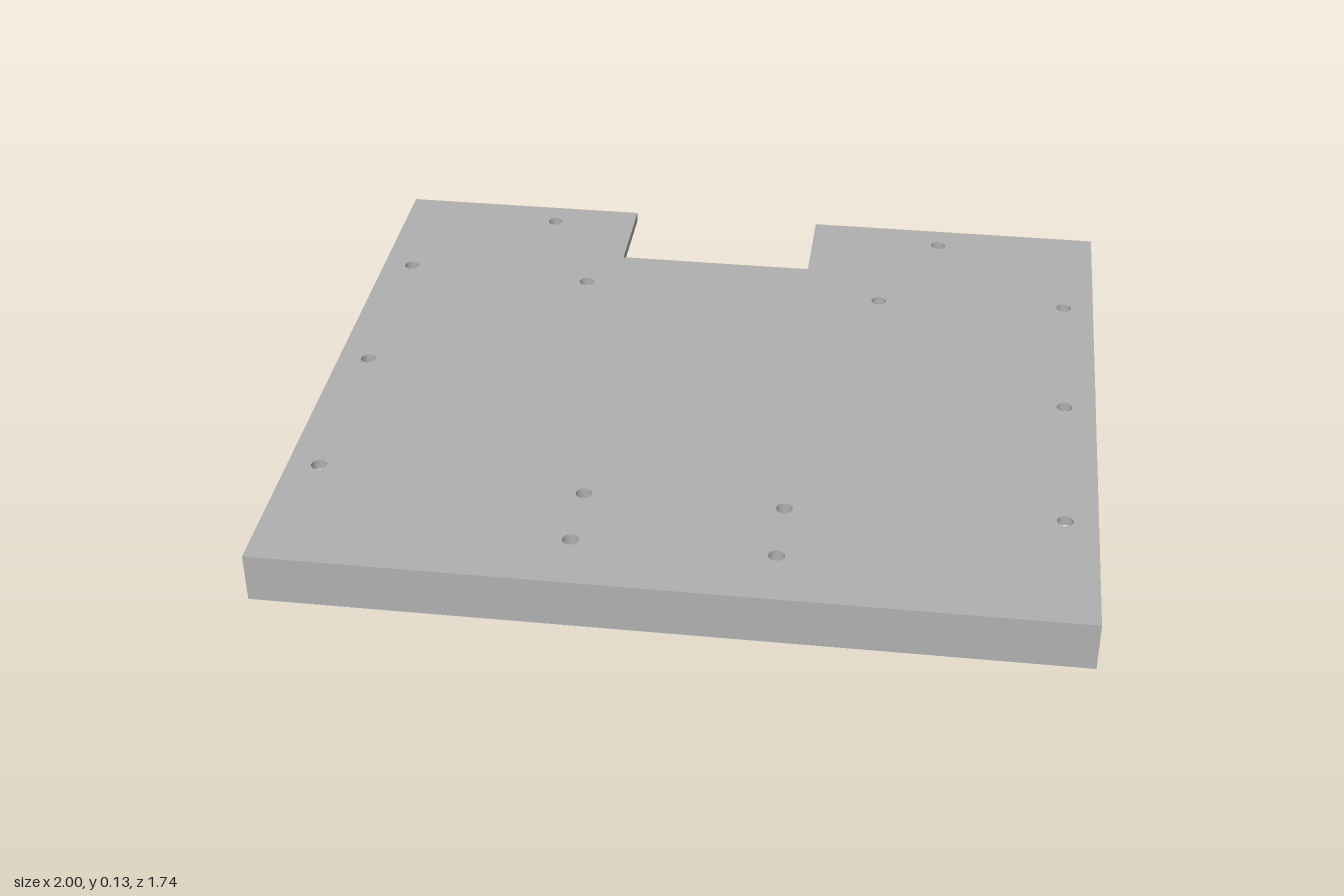
import * as THREE from 'three';

export function createModel() {
  const group = new THREE.Group();
  const grey = new THREE.MeshStandardMaterial({ color: 0xb0b0b0 });
  grey.name = 'grey';
  const top = 0.128, under = 0.102, holeRadius = 0.02;

  function add(name, geometry, x = 0, y = 0, z = 0) {
    const mesh = new THREE.Mesh(geometry, grey);
    mesh.name = name;
    mesh.position.set(x, y, z);
    group.add(mesh);
  }
  function addHole(shape, x, y, r) {
    const hole = new THREE.Path();
    hole.absarc(x, y, r, 0, Math.PI * 2, true);
    shape.holes.push(hole);
  }
  // Extrudes a plan shape (drawn with y = -z) upwards
  function extrudeUp(shape, depth) {
    return new THREE.ExtrudeGeometry(shape, { depth, bevelEnabled: false, curveSegments: 24 })
      .rotateX(-Math.PI / 2);
  }

  // Top plate with the rear notch and mirrored through-holes
  const outline = [
    [-1, -0.87], [1, -0.87], [1, 0.87], [0.2, 0.87],
    [0.2, 0.61], [-0.33, 0.61], [-0.33, 0.87], [-1, 0.87],
  ];
  const plate = new THREE.Shape(outline.map(([x, y]) => new THREE.Vector2(x, y)));
  const bossSpots = [[0.246, 0.708], [0.246, 0.523], [0.411, -0.464]];
  const boltSpots = [[0.561, -0.79], [0.92, -0.49], [0.92, 0], [0.92, 0.488]];
  for (const [x, z] of [...bossSpots, ...boltSpots]) {
    for (const side of [-1, 1]) addHole(plate, side * x, -z, holeRadius);
  }
  add('topPlate', extrudeUp(plate, top - under), 0, under, 0);

  // Front lip folded down from the plate
  add('frontLip', new THREE.BoxGeometry(2, under, 0.032), 0, under / 2, 0.854);

  // Stiffening ribs: one spine and two cross ribs, split where they meet it
  const ribWidth = 0.03, ribReach = 0.92;
  add('spineRib', new THREE.BoxGeometry(ribWidth, under, 1.39), 0, under / 2, 0.095);
  const half = ribReach - ribWidth / 2;
  for (const z of [-0.28, 0.28]) {
    for (const side of [-1, 1]) {
      add('crossRib', new THREE.BoxGeometry(half, under, ribWidth),
        side * (ribWidth + half * 1) / 2, under / 2, z);
    }
  }

  // Ring bosses under the plate holes
  const ring = new THREE.Shape();
  ring.absarc(0, 0, 0.083, 0, Math.PI * 2, false);
  addHole(ring, 0, 0, 0.03);
  const bossGeometry = extrudeUp(ring, under - 0.042);
  for (const [x, z] of bossSpots) {
    for (const side of [-1, 1]) add('boss', bossGeometry, side * x, 0.042, z);
  }

  return group;
}
